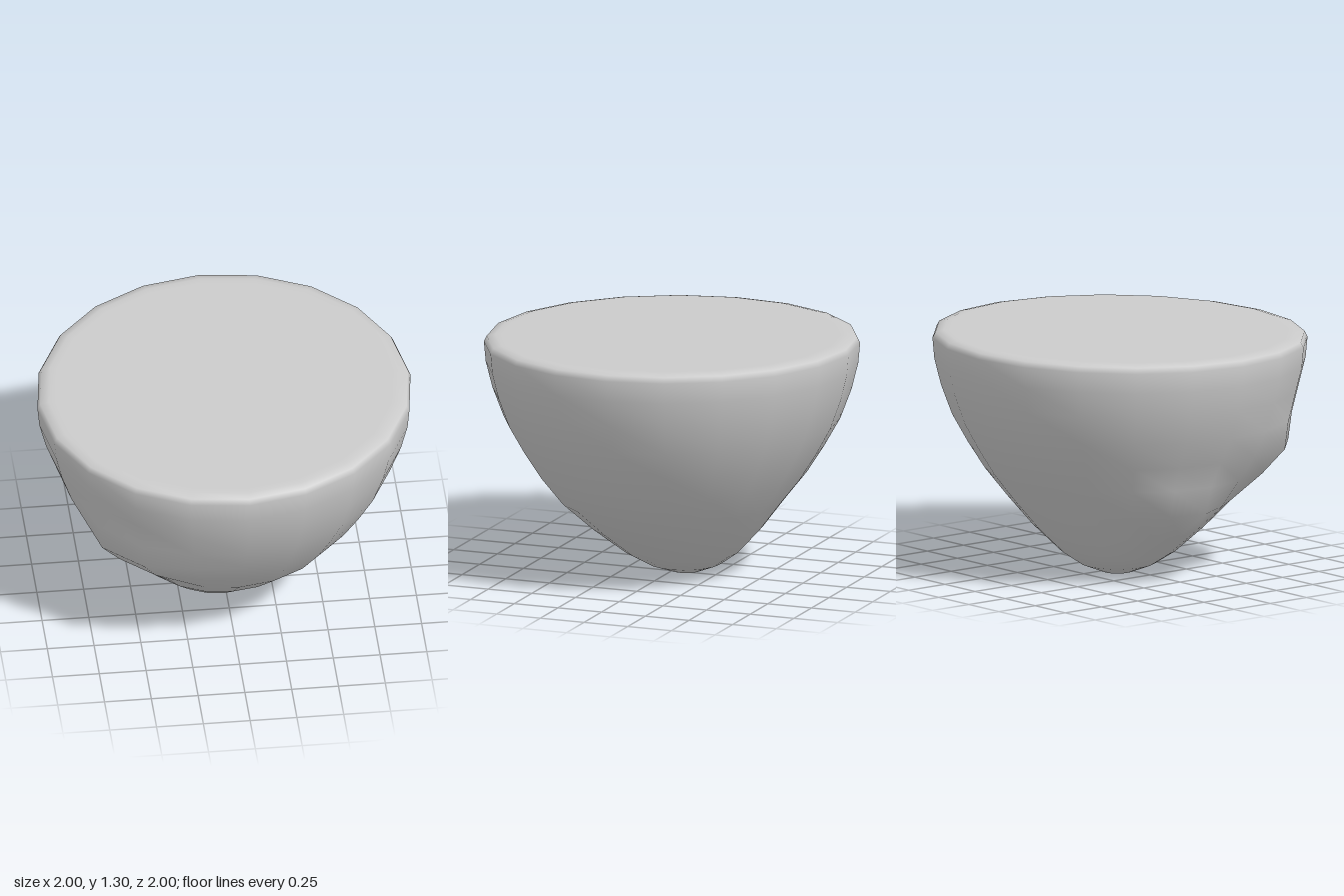
import * as THREE from 'three';
import { mergeVertices } from 'three/addons/utils/BufferGeometryUtils.js';

// Rounded rock profile from the bottom tip to the flat top: [radius, height]
const PROFILE = [
  [0, 0], [0.08, 0], [0.2, 0.045], [0.31, 0.115], [0.46, 0.25], [0.6, 0.4],
  [0.72, 0.55], [0.81, 0.69], [0.895, 0.84], [0.955, 1.0], [0.99, 1.14],
  [1.0, 1.25], [0.985, 1.28], [0.94, 1.29], [0.9, 1.29], [0, 1.29],
];

// Swellings on the rock side: angle from +z toward +x, height, amount, spreads
const BULGES = [
  { angle: -0.76, y: 0.66, amount: 0.11, spreadA: 0.36, spreadY: 0.15 },
  { angle: -1.68, y: 0.38, amount: 0.11, spreadA: 0.4, spreadY: 0.12 },
];

function bulgeAt(angle, y) {
  let sum = 0;
  for (const b of BULGES) {
    const d = Math.atan2(Math.sin(angle - b.angle), Math.cos(angle - b.angle));
    sum += b.amount * Math.exp(-((d / b.spreadA) ** 2) - ((y - b.y) / b.spreadY) ** 2);
  }
  return sum;
}

export function createModel() {
  const points = PROFILE.map(([r, y]) => new THREE.Vector2(r, y));
  let geometry = new THREE.LatheGeometry(points, 20, 0.027);
  // Weld the seam so that the normals stay smooth all round
  geometry.deleteAttribute('uv');
  geometry.deleteAttribute('normal');
  geometry = mergeVertices(geometry, 1e-4);

  const pos = geometry.attributes.position;
  for (let i = 0; i < pos.count; i++) {
    let x = pos.getX(i), y = pos.getY(i), z = pos.getZ(i);
    const r = Math.hypot(x, z);
    if (r > 0.01) {
      const k = 1 + bulgeAt(Math.atan2(x, z), y) / r;
      x *= k;
      z *= k;
    }
    // Off-centre tip and slightly tilted top
    const low = Math.max(0, 1 - y / 0.4);
    const tilt = 0.011 * (x - z) * (y / 1.29);
    pos.setXYZ(i, x - 0.05 * low, y + tilt, z - 0.06 * low);
  }
  geometry.computeVertexNormals();

  const rock = new THREE.Mesh(geometry, new THREE.MeshStandardMaterial({ color: 0xcccccc }));
  rock.name = 'flatToppedRock';
  const group = new THREE.Group();
  group.name = 'rockIsland';
  group.add(rock);
  return group;
}
